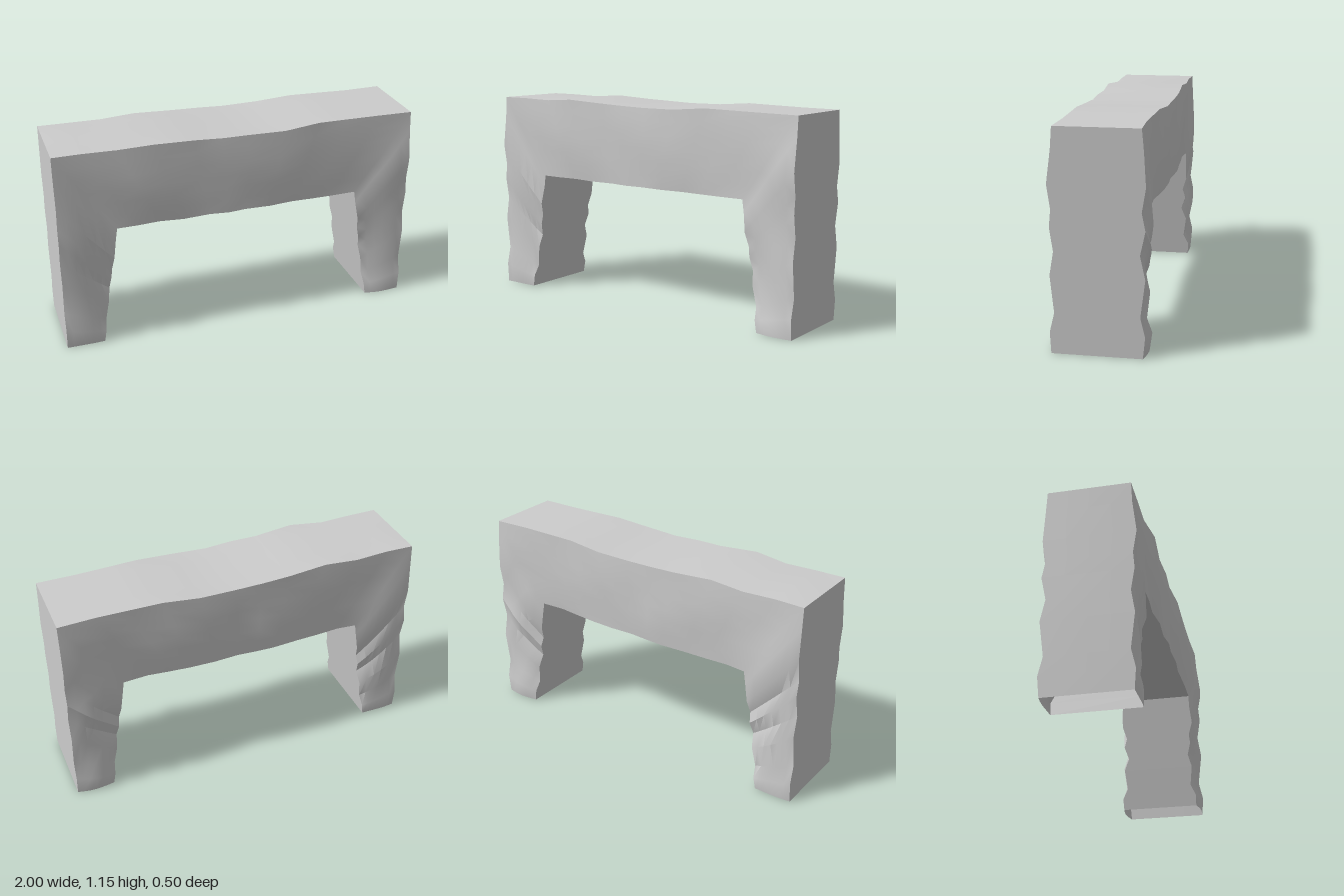
import * as THREE from 'three';
import { toCreasedNormals } from 'three/addons/utils/BufferGeometryUtils.js';

const TOP = 1.13, SOFFIT = 0.685;

// Stations along the arch: [outer x, outer y, inner x, inner y, front depth, back depth]
function makeStations() {
  const legY = [0, 0.11, 0.21, 0.4, 0.52, 0.64, 0.73, 0.85, 1.02];
  const legFront = [0.23, 0.236, 0.212, 0.232, 0.212, 0.23, 0.222, 0.24, 0.218];
  const legBack = [0.225, 0.236, 0.212, 0.236, 0.21, 0.236, 0.218, 0.238, 0.228];
  const beamX = [-1, -0.84, -0.66, -0.47, -0.25, -0.1, 0.05, 0.25, 0.45, 0.62, 0.8, 1];
  const beamY = [1.135, 1.135, 1.13, 1.143, 1.13, 1.125, 1.12, 1.122, 1.138, 1.135, 1.132, 1.13];
  const beamFront = [0.212, 0.21, 0.208, 0.228, 0.212, 0.22, 0.212, 0.226, 0.214, 0.21, 0.207, 0.21];
  const beamBack = [0.222, 0.218, 0.225, 0.222, 0.232, 0.234, 0.23, 0.232, 0.222, 0.216, 0.21, 0.218];
  const leg = side => legY.map((y, i) => {
    const k = y / TOP;
    return [side, y, side * (0.79 - 0.105 * k), SOFFIT * k, legFront[i], legBack[i]];
  });
  const beam = beamX.map((x, i) => [x, beamY[i], x * 0.685, SOFFIT, beamFront[i], beamBack[i]]);
  return [...leg(-1), ...beam, ...leg(1).reverse()];
}

// Weathered stone face, from the outer edge (v = 0) to the inner edge (v = 1)
function facePoint(s, v, side) {
  const x = THREE.MathUtils.lerp(s[0], s[2], v), y = THREE.MathUtils.lerp(s[1], s[3], v);
  const edge = side > 0 ? s[4] : s[5];
  const bulge = Math.sin(v * Math.PI) * (0.008 + 0.006 * Math.sin(x * 9 + y * 13 + side));
  const chip = v * v * 0.022 * Math.max(0, Math.sin(s[3] / SOFFIT * Math.PI));
  const inner = v * 0.006 * Math.sin(x * 11 + side * 2);
  return [x, y, side * (edge + bulge - chip + inner)];
}

// Grid surface between stations and a row of cross points
function strip(name, stations, rows, pointAt, flip, material) {
  const pos = [], idx = [];
  stations.forEach(s => {
    for (let j = 0; j <= rows; j++) pos.push(...pointAt(s, j / rows));
  });
  const w = rows + 1;
  for (let i = 0; i < stations.length - 1; i++) {
    for (let j = 0; j < rows; j++) {
      const a = i * w + j, b = a + 1, c = a + w, d = c + 1;
      if (flip) idx.push(a, c, b, b, c, d);
      else idx.push(a, b, c, b, d, c);
    }
  }
  const geometry = new THREE.BufferGeometry();
  geometry.setAttribute('position', new THREE.Float32BufferAttribute(pos, 3));
  geometry.setIndex(idx);
  const mesh = new THREE.Mesh(toCreasedNormals(geometry, 0.6), material);
  mesh.name = name;
  return mesh;
}

export function createModel() {
  const group = new THREE.Group();
  group.name = 'stoneArch';
  const stone = new THREE.MeshStandardMaterial({ color: 0xcccccc, side: THREE.DoubleSide });
  stone.name = 'grey stone';
  const stations = makeStations();

  // Rough front and back faces
  group.add(strip('frontFace', stations, 6, (s, v) => facePoint(s, v, 1), false, stone));
  group.add(strip('backFace', stations, 6, (s, v) => facePoint(s, v, -1), true, stone));

  // Leg sides and beam top, with a slight ridge behind the middle of the top
  const across = v => (s, t) => {
    const f = facePoint(s, v, 1), b = facePoint(s, v, -1);
    const ridge = v === 0 && Math.abs(s[0]) < 0.99 ? 0.008 * Math.sin(Math.PI * t) * Math.max(0, -s[0]) : 0;
    return [f[0], f[1] + ridge, THREE.MathUtils.lerp(f[2], b[2], t)];
  };
  group.add(strip('outerSurface', stations, 4, across(0), true, stone));

  // Tapered leg insides and beam underside; the feet stay open
  group.add(strip('innerSurface', stations, 1, across(1), false, stone));
  return group;
}
